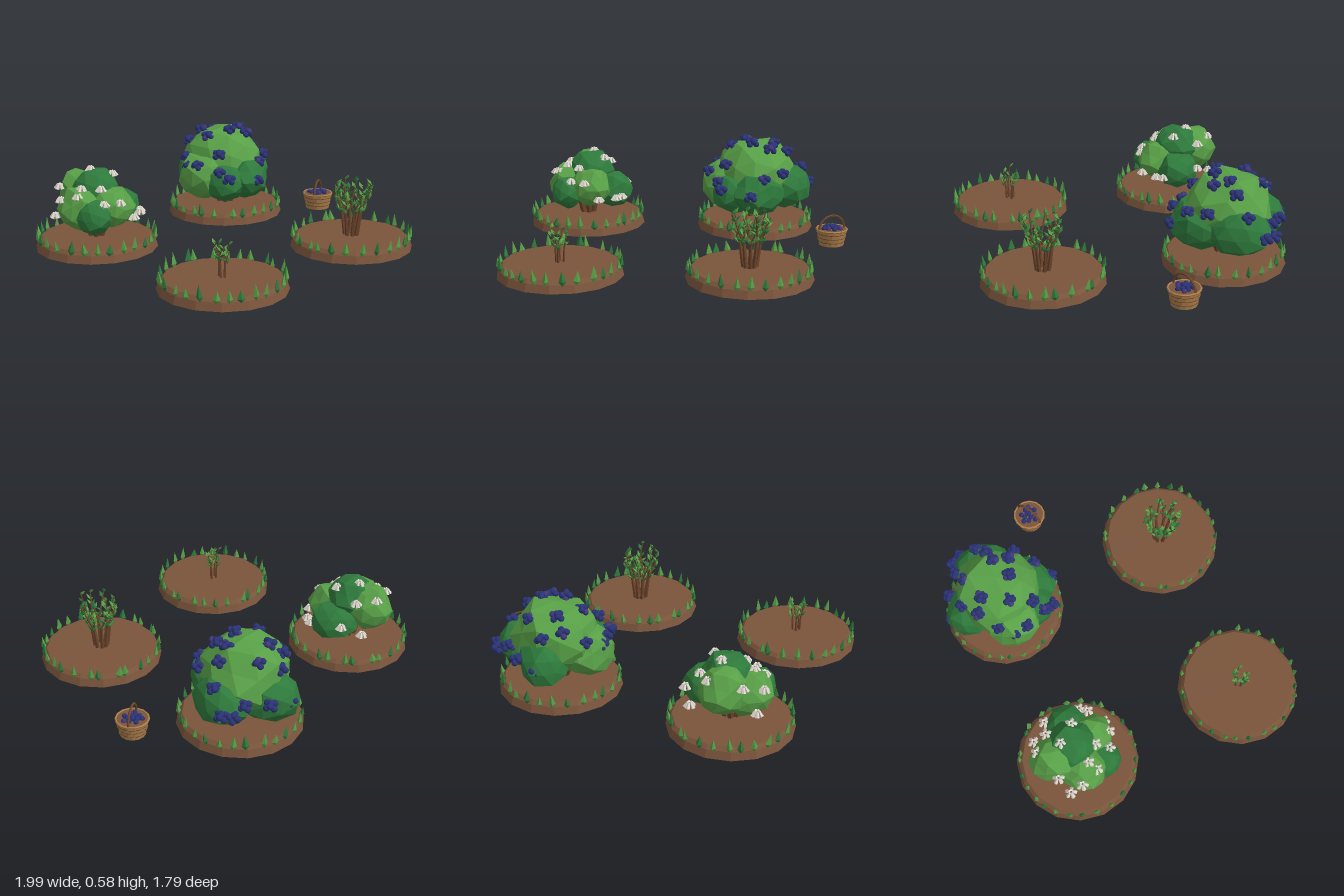
import * as THREE from 'three';

const V = (x, y, z) => new THREE.Vector3(x, y, z);
const UP = V(0, 1, 0);

// Small seeded generator
function seeded(seed) {
  return () => {
    seed = (seed * 16807) % 2147483647;
    return seed / 2147483647;
  };
}

export function createModel() {
  const root = new THREE.Group();
  root.name = 'berryGarden';
  const rand = seeded(4217);
  const vary = (a, b) => a + (b - a) * rand();

  const paint = (name, color) => {
    const m = new THREE.MeshStandardMaterial({ color });
    m.name = name;
    m.flatShading = true;
    return m;
  };
  const soil = paint('soil', 0x7a543b);
  const bark = paint('bark', 0x6b432b);
  const lightGreen = paint('lightGreen', 0x58a047);
  const darkGreen = paint('darkGreen', 0x2e7a3c);
  const blue = paint('berryBlue', 0x2a3274);
  const purple = paint('berryPurple', 0x40387c);
  const petal = paint('petal', 0xe0d9d0);
  const wicker = paint('wicker', 0xae7f4c);
  const darkWicker = paint('darkWicker', 0x6e4629);

  const group = (name, parent = root) => {
    const g = new THREE.Group();
    g.name = name;
    parent.add(g);
    return g;
  };
  const add = (parent, name, geo, mat, x = 0, y = 0, z = 0) => {
    const m = new THREE.Mesh(geo, mat);
    m.name = name;
    m.position.set(x, y, z);
    parent.add(m);
    return m;
  };
  // Tapered stick between two points
  const limb = (parent, a, b, r0, r1) => {
    const d = b.clone().sub(a);
    const m = add(parent, 'stem', new THREE.CylinderGeometry(r1, r0, d.length(), 5), bark);
    m.position.copy(a).add(b).multiplyScalar(0.5);
    m.quaternion.setFromUnitVectors(UP, d.normalize());
  };
  const lathe = (pts, n) => new THREE.LatheGeometry(pts.map(p => new THREE.Vector2(...p)), n);

  // Soil mounds with a ring of pointed grass blades
  const moundGeo = lathe([[0, 0], [0.36, 0], [0.345, 0.045], [0.325, 0.066], [0, 0.068]], 16);
  const bladeGeo = lathe([[0, 0], [0.021, 0.03], [0, 0.095]], 4);
  const plot = (name, x, z) => {
    const g = group(name);
    g.position.set(x, 0, z);
    add(g, 'soilMound', moundGeo, soil);
    const grass = group('grassRing', g);
    const count = 27;
    for (let i = 0; i < count; i++) {
      const a = (i + vary(-0.3, 0.3)) / count * Math.PI * 2;
      const b = add(grass, 'grassBlade', bladeGeo, i % 3 === 1 ? darkGreen : lightGreen,
        Math.sin(a) * 0.34, 0.035, Math.cos(a) * 0.34);
      b.rotation.set(vary(-0.05, 0.15), a, vary(-0.15, 0.15), 'YXZ');
      b.scale.set(vary(0.8, 1.1), vary(0.75, 1.08), 0.7);
    }
    return g;
  };

  // Stems fanning out, each forked and carrying small pointed leaves
  const leafGeo = new THREE.OctahedronGeometry(1, 0);
  const leaf = (parent, p, a, size) => {
    const m = add(parent, 'leaf', leafGeo, rand() < 0.55 ? lightGreen : darkGreen);
    m.position.copy(p);
    m.rotation.set(vary(0.2, 1.0), a, 0, 'YXZ');
    m.scale.set(size * 0.55, size, size * 0.3);
  };
  const shoots = (plant, count, spread, top, base, leaves, leafSize) => {
    for (let i = 0; i < count; i++) {
      const a = (i + vary(-0.2, 0.2)) / count * Math.PI * 2;
      const at = (r, y, turn = 0) => V(Math.sin(a + turn) * r, y, Math.cos(a + turn) * r);
      const h = top * vary(0.86, 1);
      const low = at(base, 0.05), mid = at(spread * 0.45, 0.06 + (h - 0.06) * 0.45);
      limb(plant, low, mid, base * 0.4, base * 0.25);
      for (const turn of [-0.45, 0.35]) {
        const tip = at(spread * vary(0.65, 1), turn < 0 ? h : h * 0.88, turn);
        limb(plant, mid, tip, base * 0.22, base * 0.08);
        for (let k = 0; k < leaves; k++) {
          const p = mid.clone().lerp(tip, (k + 0.8) / (leaves - 0.2));
          const la = a + k * 2.4 + turn;
          p.x += Math.sin(la) * leafSize * 0.5;
          p.z += Math.cos(la) * leafSize * 0.5;
          leaf(plant, p, la, leafSize);
        }
      }
    }
  };

  // Faceted foliage lump, dented by a rule that depends on position
  const lumpGeo = new THREE.IcosahedronGeometry(1, 1);
  const pos = lumpGeo.attributes.position;
  for (let i = 0; i < pos.count; i++) {
    const p = V(0, 0, 0).fromBufferAttribute(pos, i);
    p.multiplyScalar(1.02 + 0.07 * Math.sin(p.x * 7 + p.y * 5 + p.z * 9));
    pos.setXYZ(i, p.x, p.y, p.z);
  }
  const foliage = (plant, lumps) => lumps.forEach(([x, y, z, rx, ry, rz, mat], i) => {
    const m = add(plant, 'foliage', lumpGeo, mat, x, y, z);
    m.scale.set(rx, ry, rz);
    m.rotation.y = i * 1.3;
  });
  // Height of the foliage above a ground point, or a fallback at its edge
  const heightAt = (lumps, x, z, edge) => {
    let best = edge;
    for (const [cx, cy, cz, rx, ry, rz] of lumps) {
      const k = 1 - ((x - cx) / rx) ** 2 - ((z - cz) / rz) ** 2;
      if (k > 0) best = Math.max(best, cy + ry * Math.sqrt(k));
    }
    return best;
  };
  const trunk = (plant, height, spread) => {
    for (let i = 0; i < 6; i++) {
      const a = i / 6 * Math.PI * 2 + 0.3;
      limb(plant, V(Math.sin(a) * 0.03, 0.05, Math.cos(a) * 0.03),
        V(Math.sin(a) * spread, height, Math.cos(a) * spread), 0.018, 0.012);
    }
  };

  // Young seedling and leafy sapling in the front row
  const seedling = group('seedling', plot('seedlingPlot', -0.635, 0.53));
  shoots(seedling, 4, 0.055, 0.27, 0.02, 3, 0.021);
  const sapling = group('sapling', plot('saplingPlot', 0.425, 0.53));
  shoots(sapling, 8, 0.125, 0.42, 0.033, 5, 0.026);

  // Flowering bush
  const flowering = group('floweringBush', plot('floweringPlot', -0.635, -0.53));
  const flowerLumps = [
    [0.02, 0.335, -0.02, 0.14, 0.125, 0.14, darkGreen],
    [0.0, 0.30, -0.13, 0.15, 0.14, 0.13, lightGreen],
    [-0.1, 0.25, -0.02, 0.13, 0.13, 0.15, lightGreen],
    [0.15, 0.22, 0.0, 0.12, 0.11, 0.14, darkGreen],
    [0.03, 0.255, 0.10, 0.14, 0.12, 0.12, lightGreen],
    [-0.11, 0.22, 0.12, 0.1, 0.1, 0.1, darkGreen],
  ];
  foliage(flowering, flowerLumps);
  trunk(flowering, 0.24, 0.08);
  const bellGeo = new THREE.CylinderGeometry(0.007, 0.013, 0.034, 5);
  const flowerSpots = [
    [-0.2, -0.13], [-0.21, -0.06], [-0.17, 0.05], [-0.08, 0.17], [0.01, 0.21], [0.1, 0.22],
    [0.2, 0.16], [0.23, 0.12], [0.23, -0.1], [0.13, -0.13], [0.16, -0.2], [0.05, -0.22],
    [0.03, -0.08], [0.11, 0.02], [-0.13, -0.17], [-0.12, 0.02], [-0.04, 0.1]];
  flowerSpots.forEach(([x, z]) => {
    const c = group('flowerCluster', flowering);
    c.position.set(x, heightAt(flowerLumps, x, z, 0.2), z);
    for (let i = 0; i < 5; i++) {
      const a = i / 5 * Math.PI * 2 + x * 20;
      const b = add(c, 'bellFlower', bellGeo, petal, Math.sin(a) * 0.018, 0, Math.cos(a) * 0.018);
      b.rotation.set(-0.5, a, 0, 'YXZ');
    }
  });

  // Fruiting bush
  const fruiting = group('fruitingBush', plot('fruitingPlot', 0.425, -0.53));
  const fruitLumps = [
    [0.0, 0.345, -0.02, 0.25, 0.21, 0.25, lightGreen],
    [-0.15, 0.27, 0.0, 0.16, 0.15, 0.19, lightGreen],
    [0.19, 0.26, -0.03, 0.155, 0.14, 0.18, darkGreen],
    [0.02, 0.25, 0.16, 0.18, 0.13, 0.14, darkGreen],
    [0.0, 0.25, -0.18, 0.19, 0.14, 0.14, darkGreen],
    [-0.13, 0.24, 0.14, 0.13, 0.12, 0.13, darkGreen],
  ];
  foliage(fruiting, fruitLumps);
  trunk(fruiting, 0.2, 0.1);
  const berryGeo = new THREE.IcosahedronGeometry(0.019, 1);
  const berrySpots = [
    [-0.02, -0.33], [0.11, -0.29], [-0.03, -0.25], [0.22, -0.2], [0.3, -0.19], [0.33, -0.13],
    [-0.13, -0.19], [-0.07, -0.14], [-0.23, -0.11], [0.08, -0.18], [-0.29, -0.03], [-0.15, 0],
    [-0.28, 0.04], [0.11, 0.01], [-0.02, 0.06], [0.19, 0], [0.28, -0.04], [-0.18, 0.13],
    [0.09, 0.1], [0.17, 0.16], [-0.22, 0.18], [0.06, 0.24], [-0.02, 0.31], [-0.2, 0.24]];
  berrySpots.forEach(([x, z], n) => {
    const c = group('berryCluster', fruiting);
    c.position.set(x, heightAt(fruitLumps, x, z, 0.26), z);
    c.rotation.y = n;
    for (let i = 0; i < 7; i++) {
      const a = i / 6 * Math.PI * 2;
      const r = i === 6 ? 0 : 0.024;
      add(c, 'berry', berryGeo, (i + n * 3) % 11 === 0 ? purple : blue,
        Math.sin(a) * r, i === 6 ? 0.016 : (i % 2) * 0.02 - 0.01, Math.cos(a) * r);
    }
  });

  // Woven basket with dark seams, arched handle and picked berries
  const basket = group('basket');
  basket.position.set(0.896, 0, -0.15);
  const radius = y => 0.075 + 0.2 * y;
  add(basket, 'basketCore', new THREE.CylinderGeometry(0.091, 0.073, 0.092, 14), darkWicker, 0, 0.046, 0);
  for (let i = 0; i < 4; i++) {
    const y = i * 0.025;
    add(basket, 'wovenBand', new THREE.CylinderGeometry(radius(y + 0.021), radius(y), 0.021, 14, 1, true),
      wicker, 0, y + 0.0105, 0).rotation.y = (i % 2) * Math.PI / 14;
  }
  const rim = add(basket, 'rim', new THREE.TorusGeometry(0.092, 0.006, 5, 14), wicker, 0, 0.096, 0);
  rim.rotation.x = Math.PI / 2;
  add(basket, 'lining', new THREE.CylinderGeometry(0.09, 0.09, 0.004, 14), soil, 0, 0.094, 0);
  const handle = add(basket, 'handle', new THREE.TorusGeometry(0.087, 0.007, 5, 14, Math.PI), darkWicker, 0, 0.09, 0);
  handle.rotation.y = 0.48;
  for (let i = 0; i < 13; i++) {
    const a = i * 2.4, r = 0.016 * Math.sqrt(i);
    add(basket, 'pickedBerry', berryGeo, i % 6 === 5 ? purple : blue,
      Math.sin(a) * r, 0.108 - r * 0.15, Math.cos(a) * r).scale.setScalar(0.8);
  }
  return root;
}
